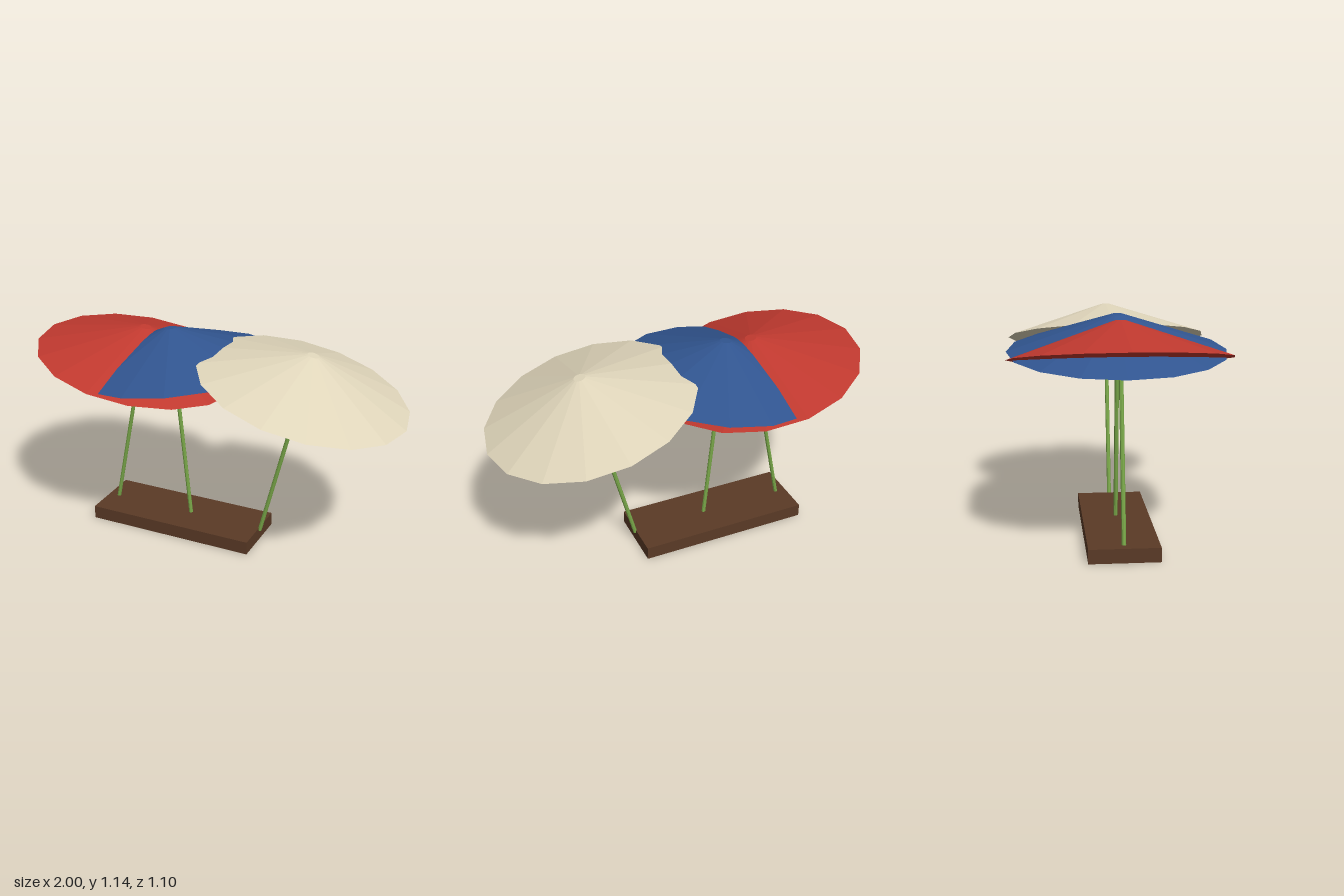
import * as THREE from 'three';

const material = (name, color) => {
  const m = new THREE.MeshStandardMaterial({ color, flatShading: true });
  m.name = name;
  return m;
};

export function createModel() {
  const model = new THREE.Group();
  model.name = 'parasolTrio';
  const wood = material('dark brown', 0x5a3a26);
  const green = material('pole green', 0x78a648);

  const add = (parent, name, geometry, mat, x, y) => {
    const mesh = new THREE.Mesh(geometry, mat);
    mesh.name = name;
    mesh.position.set(x, y, 0);
    parent.add(mesh);
  };

  // Base plank
  add(model, 'base', new THREE.BoxGeometry(0.935, 0.072, 0.35), wood, -0.2275, 0.036);

  // Each parasol leans about the centre of its canopy rim
  const canopyHeight = 0.183, poleLength = 0.9;
  const parasols = [
    ['redParasol', material('red', 0xc0392f), -0.46, 0.943, -0.2],
    ['blueParasol', material('blue', 0x315590), -0.263, 0.955, 0.1],
    ['creamParasol', material('cream', 0xdfd5ba), 0.461, 0.931, -0.246],
  ];
  for (const [name, mat, x, y, lean] of parasols) {
    const parasol = new THREE.Group();
    parasol.name = name;
    parasol.position.set(x, y, 0);
    parasol.rotation.z = lean;
    // Closed shallow cone with a small flat tip
    add(parasol, 'canopy', new THREE.CylinderGeometry(0.03, 0.551, canopyHeight, 16), mat, 0, canopyHeight / 2);
    // Pole ends just inside the base
    add(parasol, 'pole', new THREE.CylinderGeometry(0.011, 0.011, poleLength, 8), green, 0, -poleLength / 2);
    model.add(parasol);
  }
  return model;
}
